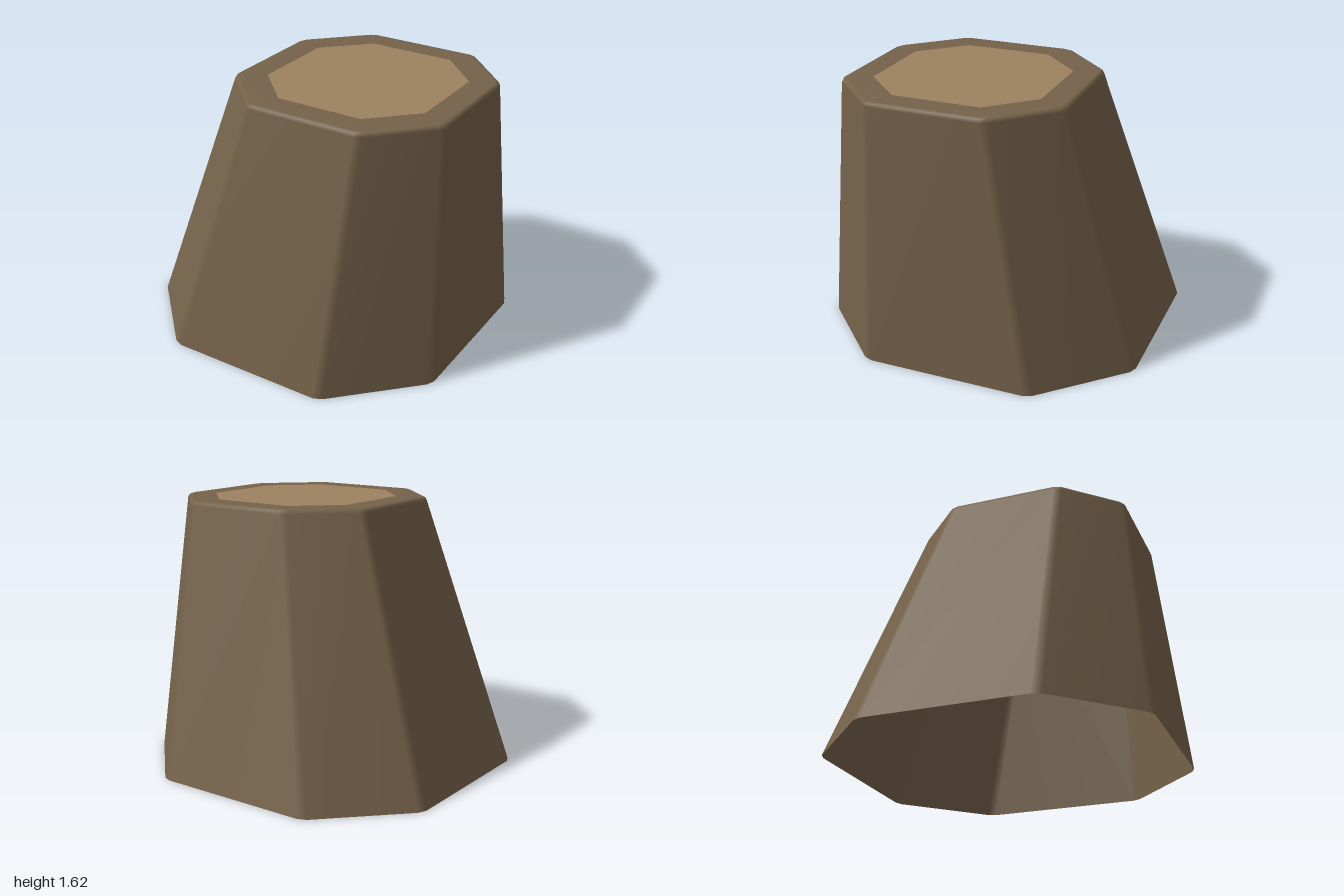
import * as THREE from 'three';

// Octagonal cross-section whose eight corners are each cut by a small bevel
function octagon(cx, y, cz, half, bevel) {
  const h = half, c = half * 0.515;
  const corners = [[h, -c], [h, c], [c, h], [-c, h], [-h, c], [-h, -c], [-c, -h], [c, -h]]
    .map(([x, z]) => new THREE.Vector2(x, z));
  const ring = [];
  corners.forEach((p, i) => {
    for (const q of [corners[(i + 7) % 8], corners[(i + 1) % 8]]) {
      const v = q.clone().sub(p).setLength(bevel).add(p);
      ring.push([cx + v.x, y, cz + v.y]);
    }
  });
  return ring;
}

// Skin stacked rings; shared vertices give soft bevels between broad flat panels
function loft(rings) {
  const n = rings[0].length, index = [];
  for (let r = 0; r < rings.length - 1; r++) {
    for (let i = 0; i < n; i++) {
      const j = (i + 1) % n;
      const a = r * n + i, b = r * n + j, c = a + n, d = b + n;
      index.push(a, c, b, b, c, d);
    }
  }
  return makeGeometry(rings.flat(), index);
}

// Close a ring with an upward-facing fan
function cap(ring) {
  const index = [];
  for (let i = 1; i < ring.length - 1; i++) index.push(0, i + 1, i);
  return makeGeometry(ring, index);
}

function makeGeometry(points, index) {
  const g = new THREE.BufferGeometry();
  g.setAttribute('position', new THREE.Float32BufferAttribute(points.flat(), 3));
  g.setIndex(index);
  g.computeVertexNormals();
  return g;
}

export function createModel() {
  const group = new THREE.Group();
  group.name = 'treeStump';
  const add = (name, geometry, color) => {
    const mesh = new THREE.Mesh(geometry,
      new THREE.MeshStandardMaterial({ color, side: THREE.DoubleSide }));
    mesh.name = name;
    group.add(mesh);
  };

  // Leaning tapered trunk, open underneath, with a rounded rim
  const cx = 0.285, cz = 0.105;
  const inner = octagon(0.292, 1.62, cz, 0.515, 0.003);
  add('bark', loft([
    octagon(0, 0, 0, 1, 0.03),
    octagon(cx, 1.595, cz, 0.685, 0.025),
    octagon(cx, 1.613, cz, 0.677, 0.025),
    octagon(cx, 1.62, cz, 0.66, 0.025),
    inner,
  ]), 0x75624a);

  // Paler cut wood set flush in the rim
  add('cutWood', cap(inner), 0x9c8260);
  return group;
}
